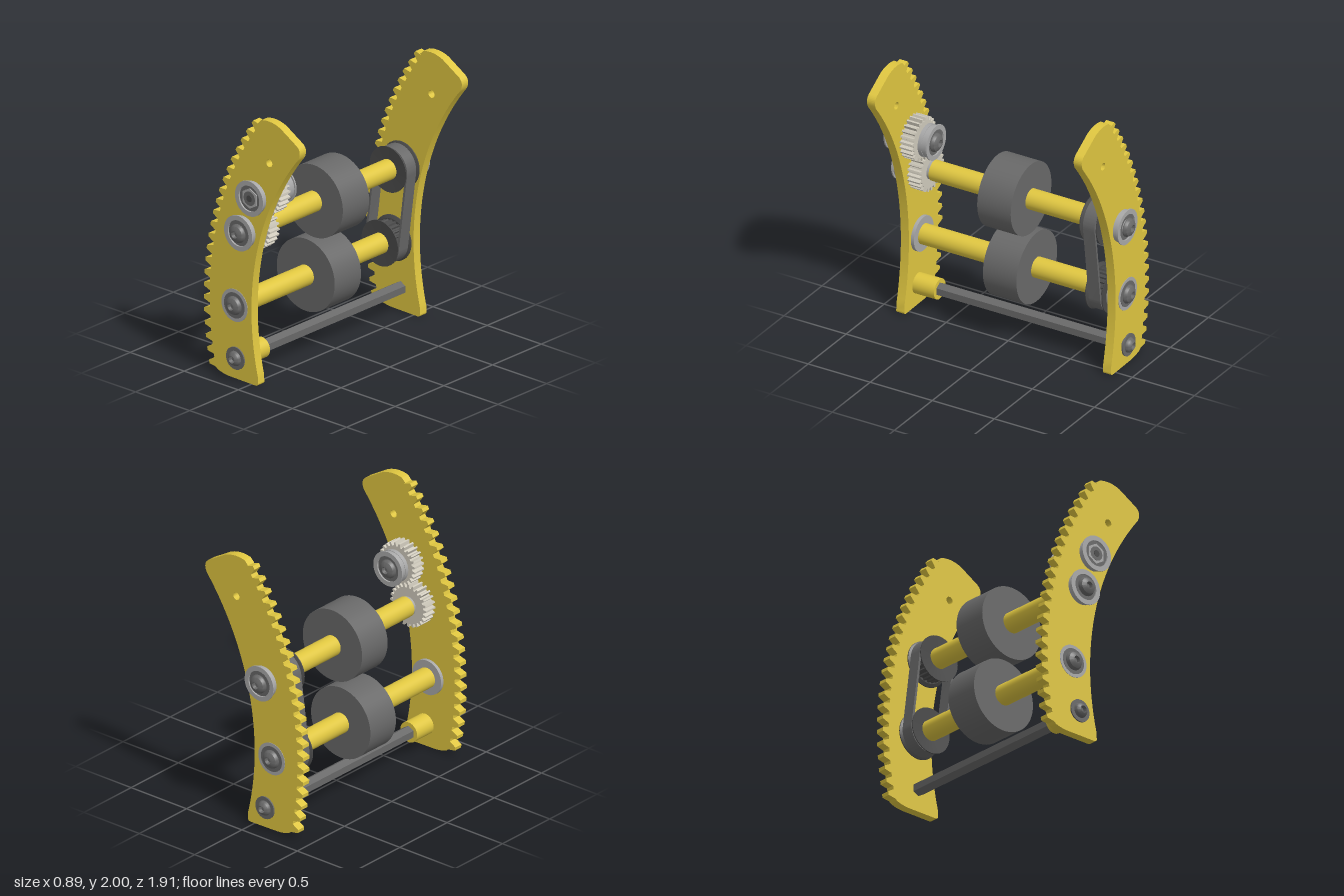
import * as THREE from 'three';
import { toCreasedNormals } from 'three/addons/utils/BufferGeometryUtils.js';

const mat = (color) => new THREE.MeshStandardMaterial({ color, side: THREE.DoubleSide });
const yellow = mat(0xdfc640), dark = mat(0x686868), steel = mat(0xa8a8a8), pale = mat(0xcfcabc), black = mat(0x4a4a4a);

// axle positions (x, y)
const UPPER = [-0.08, 1.115], LOWER = [-0.155, 0.545], IDLER = [0.02, 1.4], ROD = [-0.12, 0.17];

function add(parent, name, geometry, material, [x, y] = [0, 0], z = 0) {
  const mesh = new THREE.Mesh(geometry, material);
  mesh.name = name;
  mesh.position.set(x, y, z);
  parent.add(mesh);
  return mesh;
}

// cylinder along z between z0 and z1
function cyl(parent, name, r, z0, z1, material, at, sides = 40) {
  const g = new THREE.CylinderGeometry(r, r, z1 - z0, sides).rotateX(Math.PI / 2);
  return add(parent, name, sides < 10 ? toCreasedNormals(g, 0.3) : g, material, at, (z0 + z1) / 2);
}

// turned part along z from [radius, z] pairs
function turned(parent, name, pairs, material, at) {
  const pts = pairs.map(([r, z]) => new THREE.Vector2(r, z));
  const g = new THREE.LatheGeometry(pts, 40).rotateX(Math.PI / 2);
  return add(parent, name, toCreasedNormals(g, 0.5), material, at);
}

function extruded(parent, name, shape, z0, z1, material, at) {
  const g = new THREE.ExtrudeGeometry(shape, { depth: z1 - z0, bevelEnabled: false, curveSegments: 32 });
  return add(parent, name, toCreasedNormals(g, 0.4), material, at, z0);
}

// curved side plate with a toothed outer edge
function plateShape() {
  const cx = 1.99, cy = 0.55, root = 2.375, tip = 2.43, teeth = 22;
  const deg = Math.PI / 180, first = 35.4 * deg, pitch = 47 * deg / (teeth - 1);
  const pt = (r, a) => [cx - r * Math.cos(a), cy + r * Math.sin(a)];
  const s = new THREE.Shape();
  s.moveTo(-0.2, 0.004);
  s.lineTo(0.04, 0);
  s.quadraticCurveTo(0.066, 0.004, 0.06, 0.03);
  for (let i = 0; i <= 40; i++) s.lineTo(...pt(1.99, (-14 + i * 52.5 / 40) * deg));
  s.quadraticCurveTo(0.465, 1.85, 0.42, 1.885);
  s.lineTo(0.27, 1.975);
  s.quadraticCurveTo(0.18, 2.015, 0.09, 1.99);
  s.lineTo(0.06, 1.96);
  for (let i = 0; i < teeth; i++) {
    const a = first - i * pitch;
    for (const [r, k] of [[root, 0.36], [tip, 0.14], [tip, -0.14], [root, -0.36]]) s.lineTo(...pt(r, a + k * pitch));
  }
  s.lineTo(-0.31, 0.025);
  s.quadraticCurveTo(-0.26, 0.006, -0.2, 0.004);
  const hole = new THREE.Path();
  hole.absarc(0.165, 1.69, 0.028, 0, Math.PI * 2, true);
  s.holes.push(hole);
  return s;
}

function gearShape(teeth, root, tip) {
  const s = new THREE.Shape(), pitch = Math.PI * 2 / teeth;
  for (let i = 0; i < teeth; i++)
    for (const [r, k] of [[root, -0.32], [tip, -0.15], [tip, 0.15], [root, 0.32]]) {
      const a = (i + k) * pitch, x = r * Math.cos(a), y = r * Math.sin(a);
      i === 0 && k === -0.32 ? s.moveTo(x, y) : s.lineTo(x, y);
    }
  return s;
}

// button head screw with hex socket, rising from z
function screw(parent, z, r = 0.068) {
  turned(parent, 'screwHead', [[r, z], [r, z + 0.008], [r * 0.85, z + 0.027], [r * 0.6, z + 0.038],
    [0.026, z + 0.042], [0.022, z + 0.015], [0, z + 0.015]], dark);
}

// flanged bearing whose seat is at z = 0, with a shielded face
function bearing(parent) {
  turned(parent, 'bearingRing', [[0.117, 0], [0.117, 0.038], [0.13, 0.038], [0.13, 0.048], [0.095, 0.048], [0.095, 0.036]], steel);
  cyl(parent, 'bearingShield', 0.095, 0, 0.036, dark);
}

// group on an axle, pointing to +z (side 1) or -z (side -1)
function capGroup(root, name, [x, y], z, side) {
  const g = new THREE.Group();
  g.name = name;
  g.position.set(x, y, z);
  if (side < 0) g.rotation.y = Math.PI;
  root.add(g);
  return g;
}

function drivePulley(root, at) {
  extruded(root, 'pulleyTeeth', gearShape(24, 0.128, 0.14), -0.75, -0.64, black, at);
  turned(root, 'pulleyFlange', [[0.07, -0.76], [0.168, -0.765], [0.168, -0.758], [0.145, -0.745], [0.07, -0.745]], black, at);
  turned(root, 'pulleyFlange', [[0.07, -0.645], [0.145, -0.645], [0.168, -0.632], [0.168, -0.625], [0.07, -0.63]], black, at);
}

// belt loop around both pulleys
function beltShape() {
  const a = Math.atan2(UPPER[1] - LOWER[1], UPPER[0] - LOWER[0]), q = Math.PI / 2;
  const loop = (path, r) => {
    path.absarc(...UPPER, r, a - q, a + q, false);
    path.absarc(...LOWER, r, a + q, a + 3 * q, false);
    path.closePath();
    return path;
  };
  const s = loop(new THREE.Shape(), 0.157);
  s.holes.push(loop(new THREE.Path(), 0.14));
  return s;
}

export function createModel() {
  const root = new THREE.Group();
  root.name = 'rollerFrame';

  // side plates
  const plate = plateShape();
  extruded(root, 'frontPlate', plate, 0.8, 0.865, yellow);
  extruded(root, 'backPlate', plate, -0.865, -0.8, yellow);

  // roller axles, rollers and belt drive
  cyl(root, 'upperAxle', 0.075, -0.8, 0.645, yellow, UPPER);
  cyl(root, 'lowerAxle', 0.075, -0.8, 0.8, yellow, LOWER);
  for (const at of [UPPER, LOWER]) {
    cyl(root, 'roller', 0.268, -0.135, 0.135, dark, at, 64);
    drivePulley(root, at);
  }
  extruded(root, 'belt', beltShape(), -0.742, -0.648, dark);

  // bearings and screws at both ends of each axle
  for (const side of [1, -1]) {
    const upper = capGroup(root, 'upperBearing', UPPER, side * 0.865, side);
    bearing(upper);
    cyl(upper, 'screwWasher', 0.055, 0.03, 0.05, steel);
    screw(upper, 0.048);

    const lower = capGroup(root, 'lowerBearing', LOWER, side * 0.865, side);
    cyl(lower, 'bearingFlange', 0.13, -0.09, -0.065, steel);
    cyl(lower, 'bearingRing', 0.12, -0.06, 0.003, steel);
    cyl(lower, 'bearingShield', 0.095, -0.06, 0.005, dark);
    screw(lower, 0.003);

    const rod = capGroup(root, 'rodScrew', ROD, side * 0.865, side);
    cyl(rod, 'rodBush', 0.045, 0, 0.035, dark);
    cyl(rod, 'rodWasher', 0.083, 0.026, 0.036, dark);
    screw(rod, 0.03, 0.055);
  }

  // gear pair
  const gear = gearShape(24, 0.136, 0.162);
  extruded(root, 'upperAxleGear', gear, 0.665, 0.765, pale, UPPER);
  extruded(root, 'idlerGear', gear, 0.665, 0.765, pale, IDLER).rotation.z = Math.PI / 24;
  for (const at of [UPPER, IDLER]) {
    cyl(root, 'gearHub', 0.07, 0.63, 0.78, steel, at);
    cyl(root, 'gearSpacer', 0.075, 0.77, 0.8, yellow, at);
  }

  // idler bearings: hex nut outside, screw inside
  const outer = capGroup(root, 'idlerOuterBearing', IDLER, 0.865, 1);
  bearing(outer);
  cyl(outer, 'hexNut', 0.076, 0.03, 0.043, steel, [0, 0], 6);
  cyl(outer, 'boltEnd', 0.052, 0.035, 0.045, dark);
  cyl(outer, 'boltTip', 0.024, 0.04, 0.048, black);
  const inner = capGroup(root, 'idlerInnerBearing', IDLER, 0.615, -1);
  bearing(inner);
  cyl(inner, 'bearingBack', 0.12, -0.03, 0, steel);
  screw(inner, 0.038);

  // lower cross rod with spacer
  cyl(root, 'crossRod', 0.05, -0.8, 0.63, dark, ROD, 6);
  cyl(root, 'rodSpacer', 0.076, 0.625, 0.8, yellow, ROD);

  return root;
}
